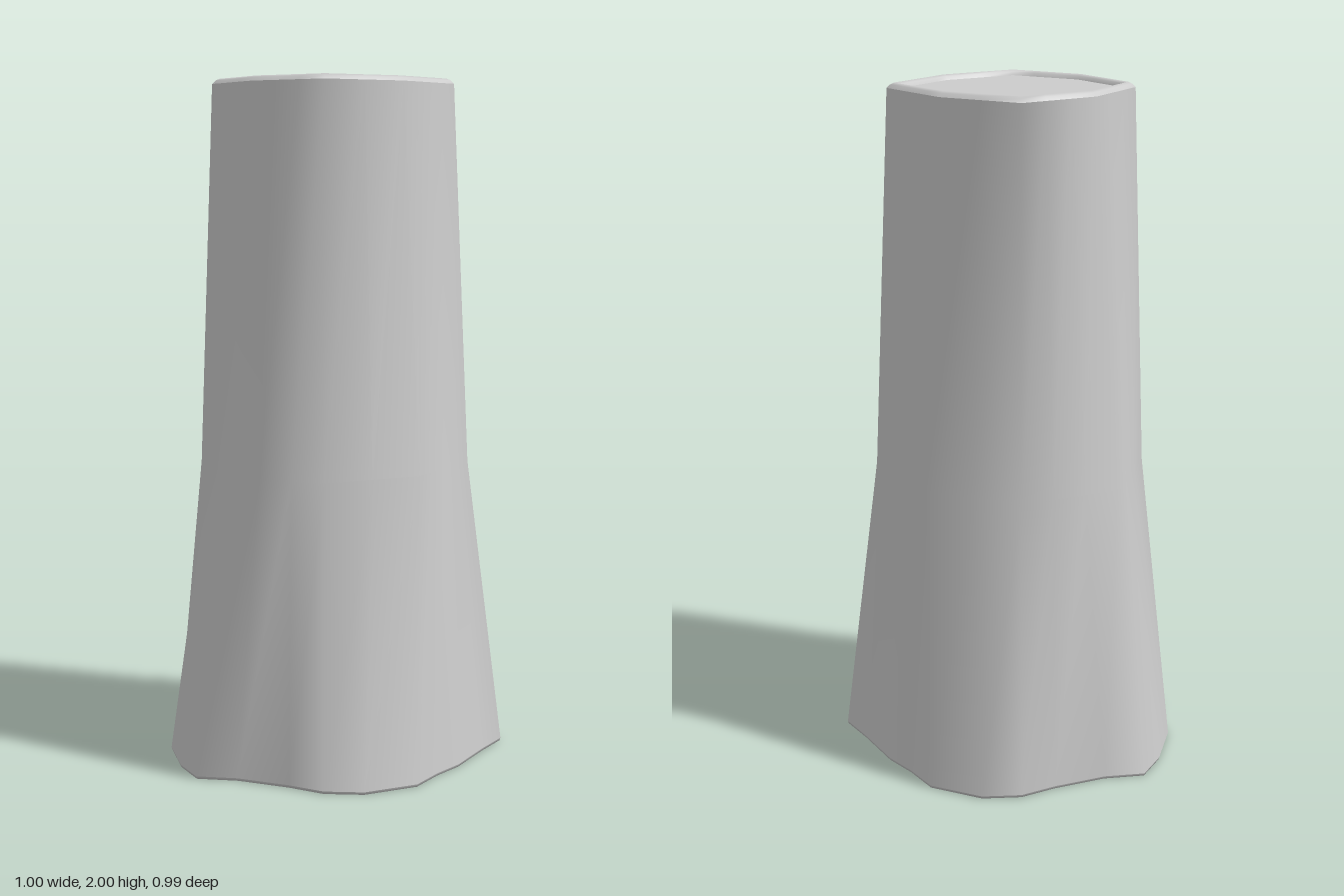
import * as THREE from 'three';

// Half outlines as [x, z], running from +x round the back to -x
const FOOT = [[0.5, 0], [0.44, 0.1], [0.36, 0.25], [0.295, 0.33], [0.235, 0.425], [0.085, 0.495], [-0.03, 0.49],
  [-0.13, 0.44], [-0.28, 0.385], [-0.4, 0.37], [-0.455, 0.27], [-0.5, 0.11], [-0.48, 0]];
const WAIST = [[0.39, 0], [0.24, 0.275], [-0.03, 0.4], [-0.31, 0.285], [-0.41, 0]];
const TOP = [[0.34, 0], [0.19, 0.215], [-0.03, 0.35], [-0.24, 0.215], [-0.368, 0]];
// Positions of the octagon corners along the 13-point half outline
const CORNERS = [0, 4, 6, 9, 12];
const N = 24;

// Spread an octagon's half outline over 13 points
function spread(half) {
  const out = [half[0]];
  for (let k = 0; k < 4; k++) {
    const steps = CORNERS[k + 1] - CORNERS[k];
    for (let j = 1; j <= steps; j++) {
      const t = j / steps;
      out.push([0, 1].map((c) => half[k][c] * (1 - t) + half[k + 1][c] * t));
    }
  }
  return out;
}

// Mirror a half outline into a closed ring at height y, scaled about its centre
function ring(half, y, scale = 1) {
  const pts = [];
  for (let i = 0; i < N; i++) {
    const [x, z] = half[i <= 12 ? i : N - i];
    pts.push(new THREE.Vector3((x + 0.015) * scale - 0.015, y, (i <= 12 ? -z : z) * scale));
  }
  return pts;
}

// Closed skin through a list of rings
function loft(rings) {
  const index = [];
  for (let r = 0; r < rings.length - 1; r++) {
    for (let i = 0; i < N; i++) {
      const a = r * N + i, b = r * N + (i + 1) % N;
      index.push(a, b, b + N, a, b + N, a + N);
    }
  }
  const geo = new THREE.BufferGeometry().setFromPoints(rings.flat());
  geo.setIndex(index);
  geo.computeVertexNormals();
  return geo;
}

// Blend normals evenly between octagon corners in the given rows
function blendNormals(geo, rows) {
  const n = geo.attributes.normal;
  const stops = [...CORNERS, 15, 18, 20, 24];
  for (const r of rows) {
    for (let k = 0; k < 8; k++) {
      const a = new THREE.Vector3().fromBufferAttribute(n, r * N + stops[k]);
      const b = new THREE.Vector3().fromBufferAttribute(n, r * N + stops[k + 1] % N);
      for (let i = stops[k] + 1; i < stops[k + 1]; i++) {
        const v = a.clone().lerp(b, (i - stops[k]) / (stops[k + 1] - stops[k])).normalize();
        n.setXYZ(r * N + i, v.x, v.y, v.z);
      }
    }
  }
  return geo;
}

// Flat cap filling a ring
function cap(points, up) {
  const index = [];
  for (let i = 0; i < N; i++) {
    const j = (i + 1) % N;
    index.push(N, up ? i : j, up ? j : i);
  }
  const geo = new THREE.BufferGeometry().setFromPoints([...points, new THREE.Vector3(-0.015, points[0].y, 0)]);
  geo.setIndex(index);
  geo.computeVertexNormals();
  return geo;
}

export function createModel() {
  const group = new THREE.Group();
  const grey = new THREE.MeshStandardMaterial({ color: 0xcccccc });
  grey.name = 'plain grey';
  const add = (name, geo) => {
    const mesh = new THREE.Mesh(geo, grey);
    mesh.name = name;
    group.add(mesh);
  };

  const waist = spread(WAIST), top = spread(TOP);

  // Flared outer wall
  add('outerWall', blendNormals(loft([ring(FOOT, 0.008), ring(waist, 0.87), ring(top, 1.985)]), [1, 2]));

  // Softly rounded lip and the disc just inside it
  add('topRim', loft([ring(top, 1.985), ring(top, 1.995, 0.97), ring(top, 2, 0.94),
    ring(top, 1.995, 0.91), ring(top, 1.985, 0.89)]));
  add('topDisc', cap(ring(top, 1.985, 0.89), true));

  // Hollow underside: thin bottom edge, inner wall and ceiling
  const ceiling = FOOT.map(([x, z], i) => [x * 0.6 + waist[i][0] * 0.4, z * 0.6 + waist[i][1] * 0.4]);
  add('bottomEdge', loft([ring(FOOT, 0, 0.955), ring(FOOT, 0, 0.995), ring(FOOT, 0.008)]));
  add('innerWall', loft([ring(ceiling, 0.35, 0.95), ring(FOOT, 0, 0.955)]));
  add('innerCeiling', cap(ring(ceiling, 0.35, 0.95), false));
  return group;
}
